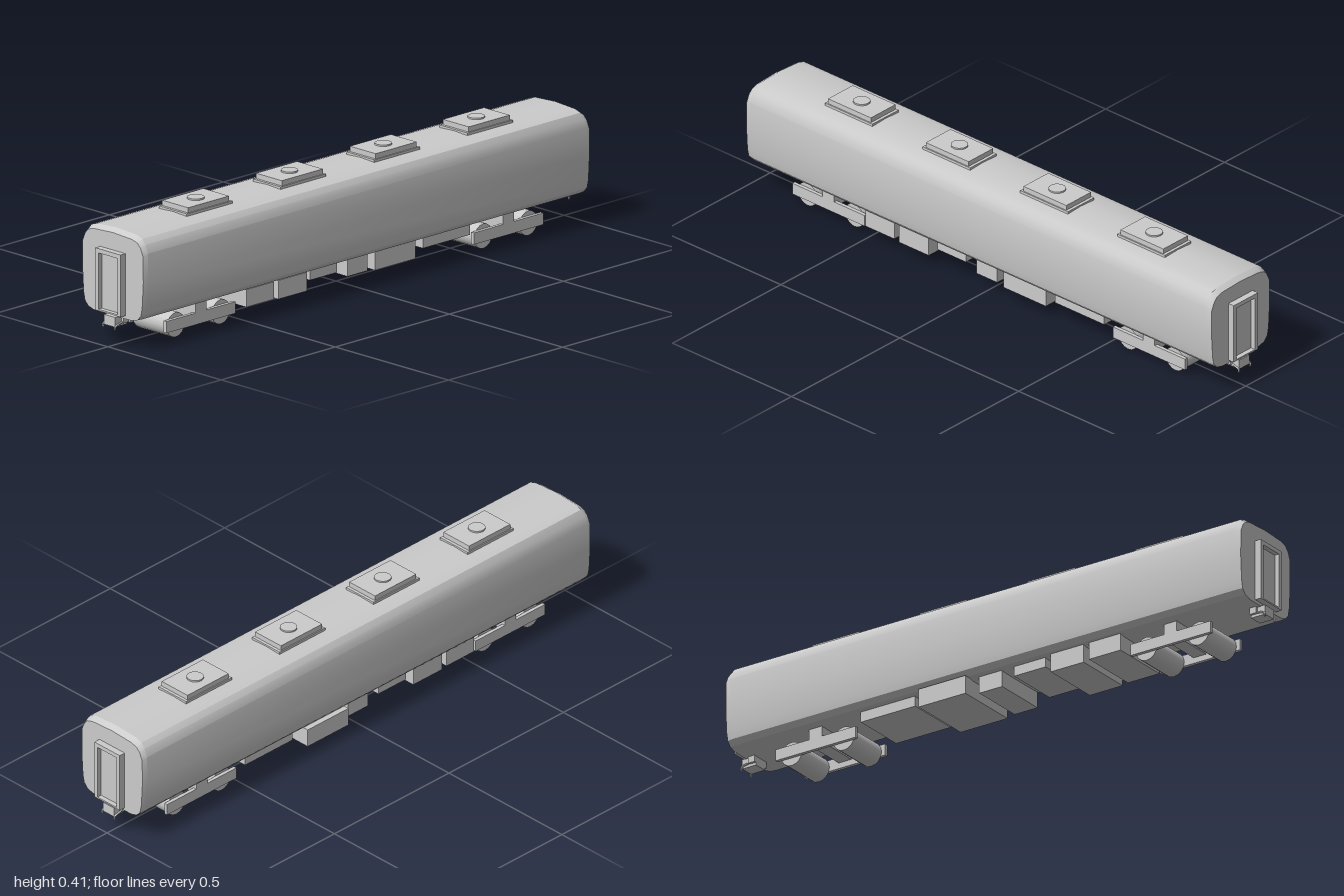
import * as THREE from 'three';
import { toCreasedNormals } from 'three/addons/utils/BufferGeometryUtils.js';

const material = new THREE.MeshStandardMaterial({ color: 0xcccccc, side: THREE.DoubleSide });

function add(parent, name, geometry, x = 0, y = 0, z = 0) {
  const mesh = new THREE.Mesh(geometry, material);
  mesh.name = name;
  mesh.position.set(x, y, z);
  parent.add(mesh);
  return mesh;
}

// Box given by its limits on each axis
function block(parent, name, x0, x1, y0, y1, z0, z1) {
  return add(parent, name, new THREE.BoxGeometry(x1 - x0, y1 - y0, z1 - z0),
    (x0 + x1) / 2, (y0 + y1) / 2, (z0 + z1) / 2);
}

// Rounded carriage shell lofted along z, with slightly smaller ends
function shellGeometry() {
  const half = [[0, 0.097], [0.087, 0.098], [0.112, 0.105], [0.127, 0.121], [0.133, 0.148],
    [0.138, 0.23], [0.137, 0.323], [0.126, 0.35], [0.112, 0.366], [0.088, 0.374], [0, 0.379]];
  const ring = [...half, ...half.slice(1, -1).reverse().map(([x, y]) => [-x, y])];
  const n = ring.length;
  const sections = [[-0.978, true], [-0.96, false], [0.96, false], [0.978, true]];
  const positions = [], index = [];
  for (const [z, end] of sections) {
    for (const [x, y] of ring) {
      positions.push(end ? x * 0.972 : x, end && y > 0.24 ? 0.24 + (y - 0.24) * 0.91 : y, z);
    }
  }
  for (let s = 0; s < sections.length - 1; s++) {
    for (let i = 0; i < n; i++) {
      const a = s * n + i, b = s * n + (i + 1) % n;
      index.push(a, b, b + n, a, b + n, a + n);
    }
  }
  const last = (sections.length - 1) * n;
  for (let i = 1; i < n - 1; i++) {
    index.push(0, i + 1, i, last, last + i, last + i + 1);
  }
  const geometry = new THREE.BufferGeometry();
  geometry.setAttribute('position', new THREE.Float32BufferAttribute(positions, 3));
  geometry.setIndex(index);
  return toCreasedNormals(geometry, 0.5);
}

function rectangle(path, x, y0, y1) {
  path.moveTo(-x, y0);
  path.lineTo(x, y0);
  path.lineTo(x, y1);
  path.lineTo(-x, y1);
  path.closePath();
  return path;
}

// Gangway door, coupler and hoses, modelled for the +z end
function carriageEnd() {
  const group = new THREE.Group();
  const frame = rectangle(new THREE.Shape(), 0.056, 0.108, 0.31);
  frame.holes.push(rectangle(new THREE.Path(), 0.042, 0.113, 0.296));
  add(group, 'doorFrame', new THREE.ExtrudeGeometry(frame, { depth: 0.03, bevelEnabled: false }), 0, 0, 0.97);
  block(group, 'doorPanel', -0.042, 0.042, 0.113, 0.296, 0.97, 0.984);
  block(group, 'couplerMount', -0.033, 0.033, 0.076, 0.1, 0.94, 0.965);
  block(group, 'couplerHead', -0.024, 0.024, 0.067, 0.099, 0.94, 0.993);
  for (const side of [-1, 1]) {
    const curve = new THREE.CatmullRomCurve3([
      new THREE.Vector3(side * 0.027, 0.078, 0.965),
      new THREE.Vector3(side * 0.028, 0.074, 0.985),
      new THREE.Vector3(side * 0.027, 0.068, 0.995),
      new THREE.Vector3(side * 0.026, 0.059, 0.994)]);
    add(group, 'brakeHose', new THREE.TubeGeometry(curve, 10, 0.003, 6));
  }
  return group;
}

// Two-axle bogie centred on its own origin
function bogie() {
  const group = new THREE.Group();
  group.name = 'bogie';
  for (const side of [-1, 1]) {
    add(group, 'sideFrame', new THREE.BoxGeometry(0.012, 0.038, 0.304), side * 0.08, 0.045, 0);
    const wheels = add(group, 'wheelRoller',
      new THREE.CylinderGeometry(0.04, 0.04, 0.148, 16), 0, 0.04, side * 0.099);
    wheels.rotation.z = Math.PI / 2;
  }
  block(group, 'bolster', -0.086, 0.086, 0.045, 0.1, -0.024, 0.024);
  return group;
}

export function createModel() {
  const model = new THREE.Group();
  model.name = 'railwayCarriage';
  add(model, 'carriageBody', shellGeometry());

  // Roof ventilation units
  for (const z of [-0.615, -0.207, 0.204, 0.615]) {
    block(model, 'ventBase', -0.061, 0.061, 0.365, 0.384, z - 0.1, z + 0.1);
    block(model, 'ventHousing', -0.057, 0.057, 0.38, 0.401, z - 0.09, z + 0.09);
    add(model, 'ventCap', new THREE.CylinderGeometry(0.027, 0.027, 0.01, 20), 0, 0.401, z);
  }

  // Door ends, mirrored by a half turn
  for (const turn of [0, Math.PI]) {
    const end = carriageEnd();
    end.name = turn ? 'backEnd' : 'frontEnd';
    end.rotation.y = turn;
    model.add(end);
  }

  // Bogies
  for (const z of [0.677, -0.671]) {
    const truck = bogie();
    truck.position.z = z;
    model.add(truck);
  }

  // Equipment boxes: x limits, bottom, z limits
  const boxes = [
    [-0.104, 0.108, 0.045, 0.38, 0.5],
    [-0.104, 0.108, 0.041, 0.235, 0.36],
    [-0.096, 0.096, 0.068, 0.09, 0.21],
    [-0.096, 0.096, 0.045, -0.042, 0.045],
    [-0.128, 0.1, 0.041, -0.25, -0.072],
    [-0.096, 0.096, 0.066, -0.492, -0.285]];
  for (const [x0, x1, bottom, z0, z1] of boxes) {
    block(model, 'equipmentBox', x0, x1, bottom, 0.102, z0, z1);
  }
  return model;
}
